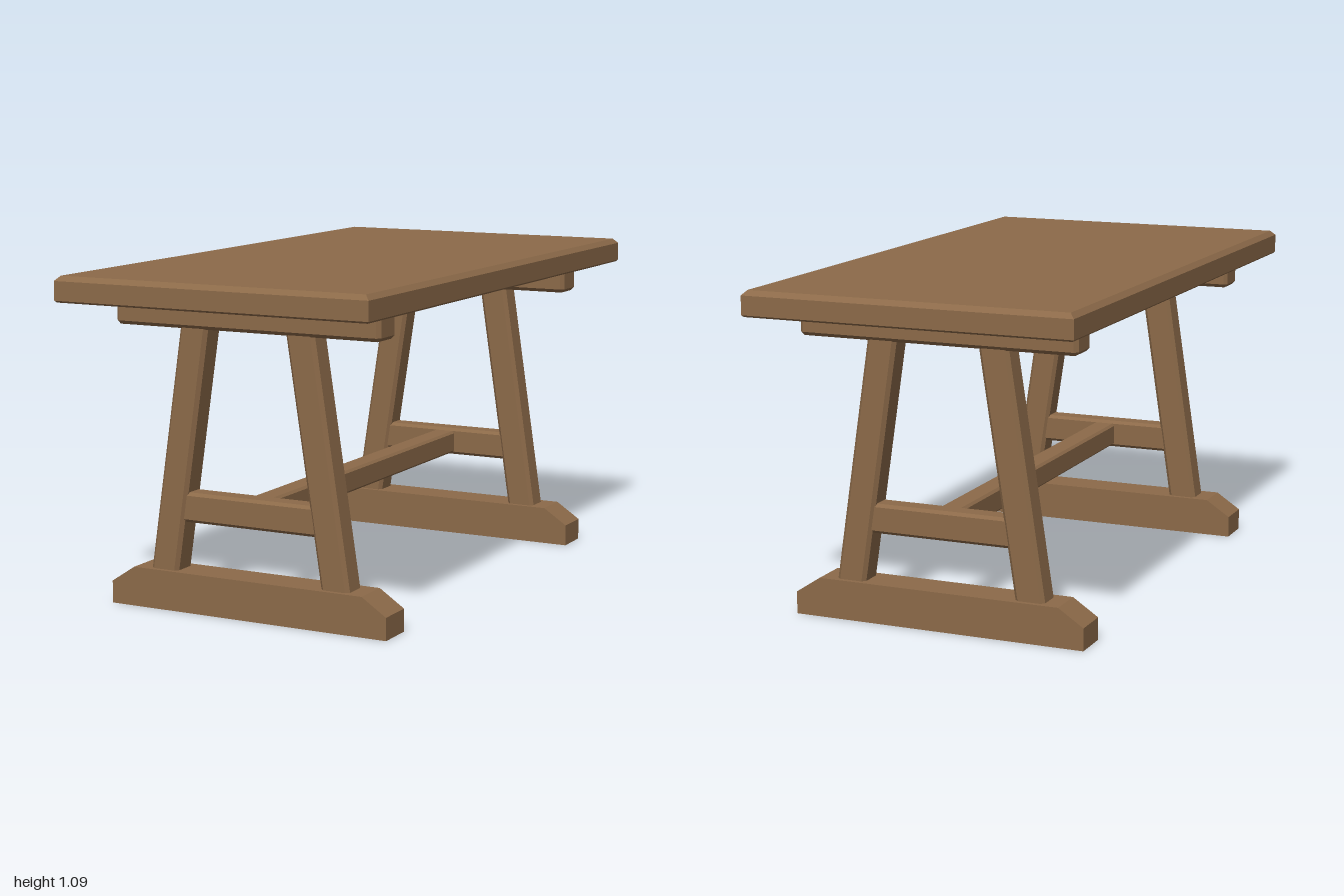
import * as THREE from 'three';
import { ConvexGeometry } from 'three/addons/geometries/ConvexGeometry.js';

const SIGNS = [-1, 1];

// Box with every edge cut at 45 degrees by c
function chamferedBox(w, h, d, c) {
  const points = [];
  const [x, y, z] = [w / 2, h / 2, d / 2];
  for (const sx of SIGNS) for (const sy of SIGNS) for (const sz of SIGNS) {
    points.push(
      new THREE.Vector3(sx * x, sy * (y - c), sz * (z - c)),
      new THREE.Vector3(sx * (x - c), sy * y, sz * (z - c)),
      new THREE.Vector3(sx * (x - c), sy * (y - c), sz * z)
    );
  }
  return new ConvexGeometry(points);
}

// Slab from rectangular layers, each [height, inset]
function layeredSlab(w, d, layers) {
  const points = [];
  for (const [y, inset] of layers) for (const sx of SIGNS) for (const sz of SIGNS) {
    points.push(new THREE.Vector3(sx * (w / 2 - inset), y, sz * (d / 2 - inset)));
  }
  return new ConvexGeometry(points);
}

export function createModel() {
  const model = new THREE.Group();
  model.name = 'trestleTable';
  const wood = new THREE.MeshStandardMaterial({ color: 0x8c6a49 });
  wood.name = 'wood';

  const add = (parent, name, geometry, x = 0, y = 0, z = 0) => {
    const mesh = new THREE.Mesh(geometry, wood);
    mesh.name = name;
    mesh.position.set(x, y, z);
    parent.add(mesh);
    return mesh;
  };

  // Tabletop with a wide upper and a narrow lower bevel
  add(model, 'tabletop', layeredSlab(1.106, 2, [
    [1.01, 0.006], [1.016, 0], [1.078, 0], [1.094, 0.016]
  ]));

  // Foot profile with sloping ends
  const footShape = new THREE.Shape([
    [-0.502, 0], [0.502, 0], [0.502, 0.074], [0.417, 0.13], [-0.417, 0.13], [-0.502, 0.074]
  ].map(([x, y]) => new THREE.Vector2(x, y)));
  const footGeometry = new THREE.ExtrudeGeometry(footShape, { depth: 0.124, bevelEnabled: false });
  footGeometry.translate(0, 0, -0.062);

  const bearerGeometry = chamferedBox(0.95, 0.088, 0.112, 0.012);
  const crossbarGeometry = chamferedBox(0.56, 0.098, 0.075, 0.01);

  // Leaning leg: its ends sit inside the foot and the bearer
  const legGeometry = side => {
    const geometry = chamferedBox(0.101, 0.84, 0.092, 0.012);
    const shear = new THREE.Matrix4().makeShear(0, 0, -side * 0.152, 0, 0, 0);
    const position = geometry.attributes.position;
    const lean = -side * 0.152;
    for (let i = 0; i < position.count; i++) {
      position.setX(i, position.getX(i) + lean * position.getY(i));
    }
    geometry.computeVertexNormals();
    return geometry;
  };
  const legs = SIGNS.map(side => [side, legGeometry(side)]);

  // Two matching end frames
  for (const end of SIGNS) {
    const frame = new THREE.Group();
    frame.name = end > 0 ? 'frontTrestle' : 'backTrestle';
    frame.position.z = end * 0.721;
    add(frame, 'foot', footGeometry);
    add(frame, 'bearer', bearerGeometry, 0, 0.966);
    add(frame, 'crossbar', crossbarGeometry, 0, 0.341);
    for (const [side, geometry] of legs) {
      add(frame, side > 0 ? 'leftLeg' : 'rightLeg', geometry, side * 0.252, 0.526);
    }
    model.add(frame);
  }

  // Long rail joining the two crossbars
  add(model, 'stretcher', chamferedBox(0.08, 0.08, 1.41, 0.008), 0, 0.34);

  return model;
}
